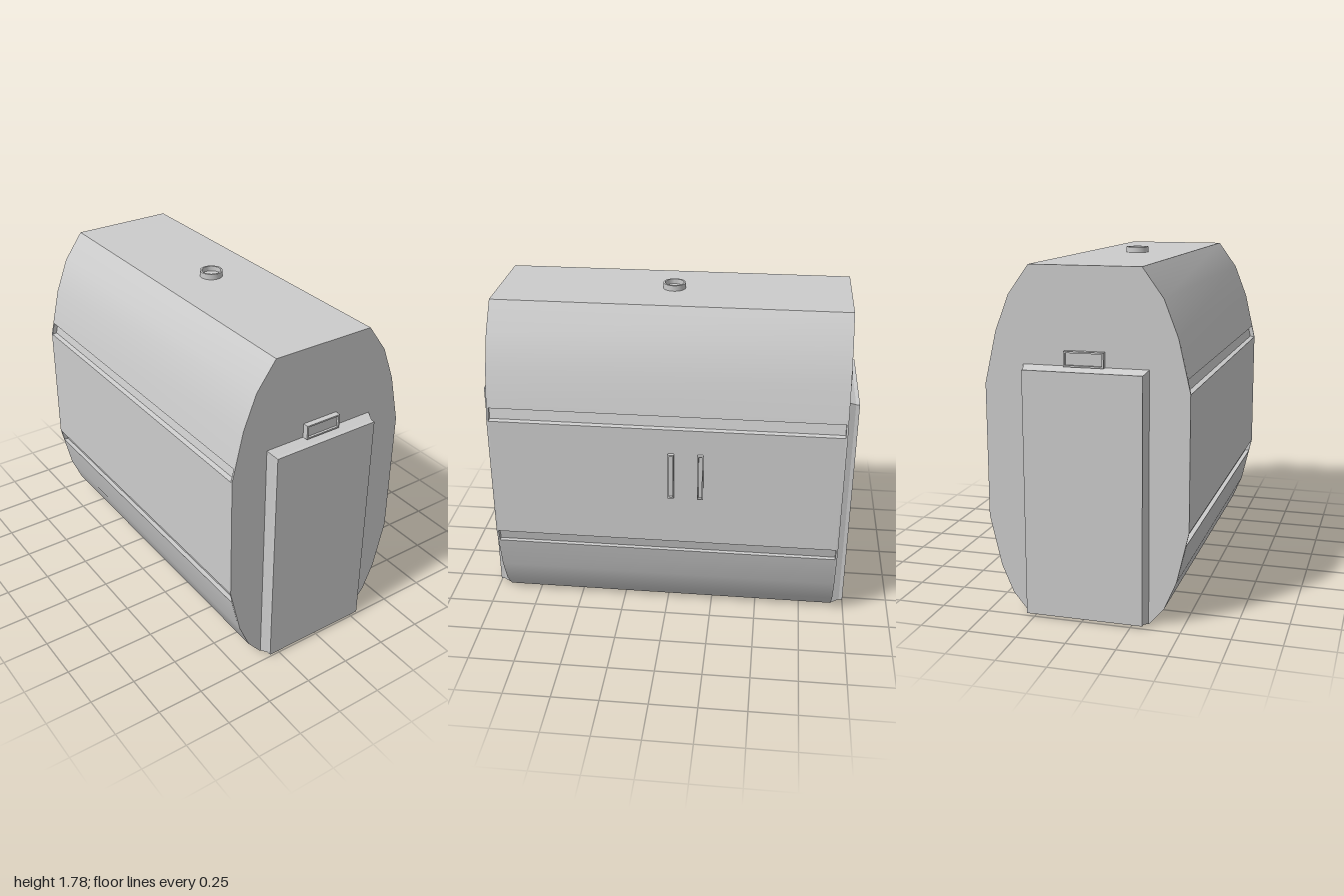
import * as THREE from 'three';
import { toCreasedNormals } from 'three/addons/utils/BufferGeometryUtils.js';

const CX = -0.01; // centre line of the cabin
const mat = new THREE.MeshStandardMaterial({ color: 0xcccccc });

function add(parent, name, geo, x = 0, y = 0, z = 0) {
  const m = new THREE.Mesh(geo, mat);
  m.name = name;
  m.position.set(x, y, z);
  parent.add(m);
  return m;
}

// Prism along z from the right half of a symmetric profile, listed bottom to top
function prism(half, depth) {
  const pts = [...half, ...half.map(([x, y]) => [-x, y]).reverse()];
  const shape = new THREE.Shape(pts.map(([x, y]) => new THREE.Vector2(x, y)));
  const geo = new THREE.ExtrudeGeometry(shape, { depth, bevelEnabled: false });
  return toCreasedNormals(geo.translate(0, 0, -depth / 2), 0.5);
}

// Rectangular rim around a recessed panel, facing +z
function framedPanel(name, w, h, depth, rim, recess) {
  const g = new THREE.Group();
  g.name = name;
  const rect = (C, a, b) => new C([[-a, -b], [a, -b], [a, b], [-a, b]].map(p => new THREE.Vector2(...p)));
  const shape = rect(THREE.Shape, w / 2, h / 2);
  shape.holes.push(rect(THREE.Path, w / 2 - rim, h / 2 - rim));
  add(g, 'rim', new THREE.ExtrudeGeometry(shape, { depth, bevelEnabled: false }));
  const d = depth - recess;
  add(g, 'panel', new THREE.BoxGeometry(w - 2 * rim, h - 2 * rim, d), 0, 0, d / 2);
  return g;
}

// Door slab: flared towards the wall, straight at its outer face
function doorGeometry() {
  const geo = new THREE.BoxGeometry(1, 1, 1, 1, 1, 2).toNonIndexed();
  const p = geo.attributes.position;
  for (let i = 0; i < p.count; i++) {
    const z = p.getZ(i);
    const wall = z < -0.25;
    const hw = wall ? 0.318 : 0.3;
    const y = p.getY(i) > 0 ? (wall ? 1.277 : 1.257) : (wall ? 0 : 0.013);
    p.setXYZ(i, Math.sign(p.getX(i)) * hw, y, wall ? 0.93 : z > 0.25 ? 1 : 0.98);
  }
  geo.computeVertexNormals();
  return geo;
}

export function createModel() {
  const root = new THREE.Group();
  root.name = 'cabin';

  // Body with long grooves along both sides, closed by full end plates
  const low = [[0.32, 0], [0.395, 0.09], [0.455, 0.23]];
  const high = [[0.455, 1.43], [0.385, 1.61], [0.28, 1.755]];
  const lowGroove = [[0.5, 0.42], [0.475, 0.42], [0.49, 0.485], [0.515, 0.49]];
  const highGroove = [[0.515, 1.167], [0.49, 1.172], [0.475, 1.236], [0.5, 1.236]];
  add(root, 'body', prism([...low, ...lowGroove, ...highGroove, ...high], 1.85), CX);
  const plate = prism([...low, [0.515, 0.49], [0.515, 1.17], ...high], 0.01);
  for (const s of [1, -1]) add(root, 'endPlate', plate, CX, 0, s * 0.93);

  // Door and lamp frame on each end
  const door = doorGeometry();
  for (const s of [1, -1]) {
    const end = new THREE.Group();
    end.name = s > 0 ? 'frontEnd' : 'backEnd';
    end.rotation.y = s > 0 ? 0 : Math.PI;
    end.position.x = CX;
    add(end, 'door', door);
    const lamp = framedPanel('lampFrame', 0.2, 0.075, 0.032, 0.008, 0.012);
    lamp.position.set(0, 1.313, 0.933);
    end.add(lamp);
    root.add(end);
  }

  // Two slim handles on the left side
  for (const z of [-0.035, -0.19]) {
    const handle = framedPanel('handle', 0.032, 0.26, 0.02, 0.007, 0.013);
    handle.rotation.y = Math.PI / 2;
    handle.position.set(0.504, 0.9, z);
    root.add(handle);
  }

  // Open roof vent
  const ring = [[0.05, 0], [0.06, 0], [0.06, 0.03], [0.05, 0.03], [0.05, 0.004], [0, 0.004]];
  const vent = new THREE.LatheGeometry(ring.map(p => new THREE.Vector2(...p)), 32);
  add(root, 'roofVent', toCreasedNormals(vent, 0.5), CX, 1.755, 0);

  return root;
}
